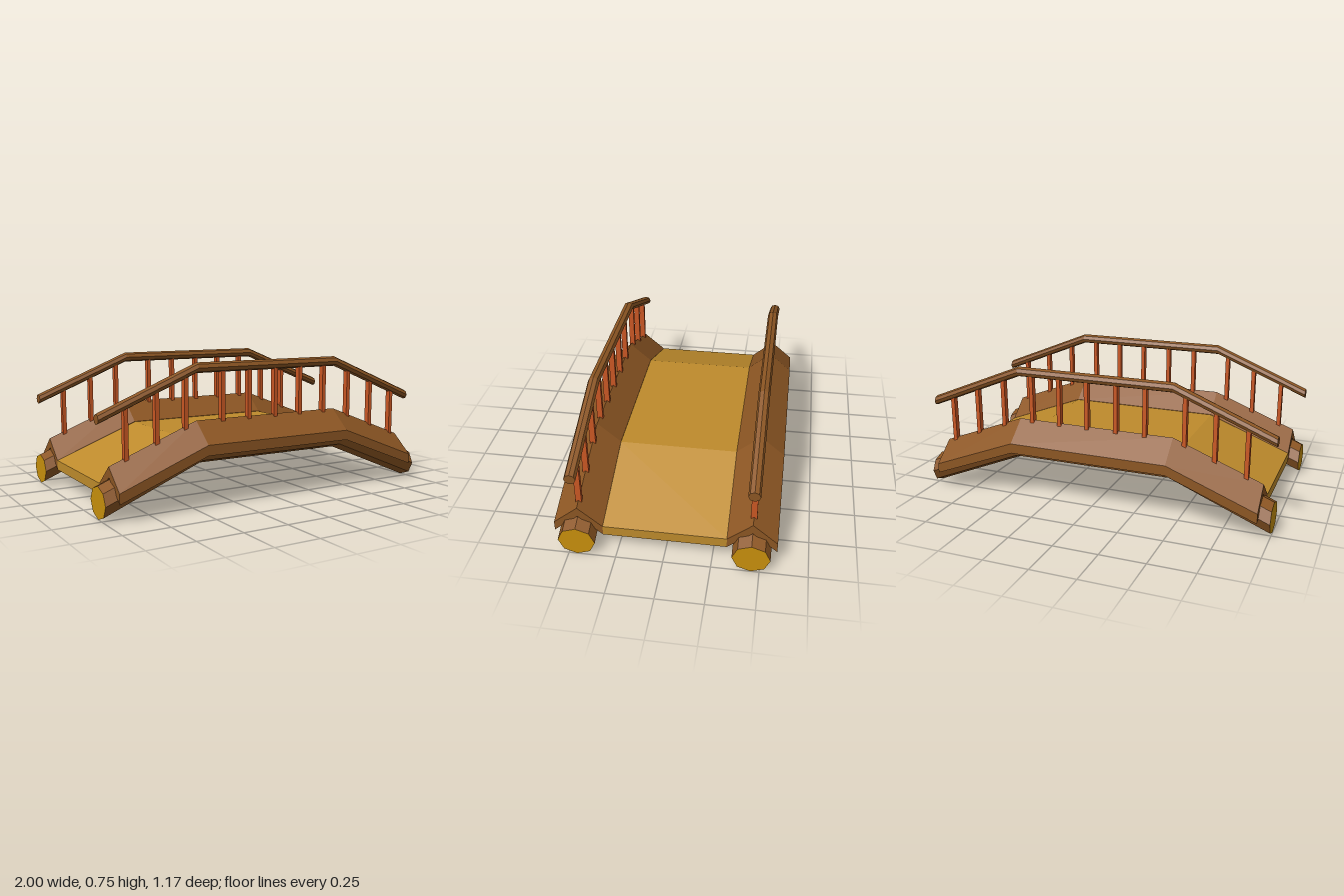
import * as THREE from 'three';

const mat = (name, color) => {
  const m = new THREE.MeshStandardMaterial({ color });
  m.name = name;
  return m;
};

// Height along an arch: flat in the middle, straight ramps down to both ends
const CREST = 0.45;
const archY = (x, endX, endY, topY) =>
  topY - (topY - endY) * Math.max(0, (Math.abs(x) - CREST) / (endX - CREST));

// Sweeps a [z, y] cross-section along the arch, keeping every section upright
function archSweep(section, endX, endY, topY) {
  const shape = new THREE.Shape(section.map(([z, y]) => new THREE.Vector2(-z, y)));
  const geo = new THREE.ExtrudeGeometry(shape, { depth: 3, steps: 3, bevelEnabled: false });
  const stations = [-endX, -CREST, CREST, endX];
  const p = geo.attributes.position;
  for (let i = 0; i < p.count; i++) {
    const x = stations[Math.round(p.getZ(i))];
    p.setXYZ(i, x, p.getY(i) + archY(x, endX, endY, topY), -p.getX(i));
  }
  geo.computeVertexNormals();
  return geo;
}

// Eight-sided section with a corner at the bottom
const octagon = (rz, ry) => Array.from({ length: 8 }, (_, i) => {
  const a = (i * Math.PI) / 4;
  return [Math.sin(a) * rz, -Math.cos(a) * ry];
});

export function createModel() {
  const group = new THREE.Group();
  group.name = 'footbridge';
  const wood = mat('brown wood', 0x8c5623);
  const plank = mat('golden deck', 0xbe8b2c);
  const cut = mat('cut log end', 0xc8900c);
  const post = mat('orange post', 0xcb5824);

  const add = (parent, name, geo, material) => {
    const mesh = new THREE.Mesh(geo, material);
    mesh.name = name;
    parent.add(mesh);
    return mesh;
  };

  // Walking surface
  add(group, 'deck', archSweep(
    [[-0.325, 0], [0.325, 0], [0.325, 0.055], [-0.325, 0.055]], 0.94, 0.1, 0.287), plank);

  const logGeo = archSweep(octagon(0.099, 0.085), 1, 0.09, 0.315);
  const kerbGeo = archSweep(
    [[-0.13, 0], [0, 0.11], [0.13, 0], [0.13, 0.055], [0, 0.165], [-0.13, 0.055]], 0.94, 0.1, 0.289);
  const railGeo = archSweep(octagon(0.031, 0.0275), 1, 0.503, 0.728);
  const postXs = [-0.85, -0.68, -0.515, -0.295, -0.13, 0.04, 0.205, 0.372, 0.55, 0.72, 0.885];

  for (const [label, side] of [['front', 1], ['back', -1]]) {
    const half = new THREE.Group();
    half.name = label + 'Side';
    half.position.z = 0.455 * side;
    group.add(half);

    // Log beam, with bare wood on the sawn ends
    add(half, 'logBeam', logGeo, [cut, wood]);
    // Roof-shaped kerb over the log
    add(half, 'kerb', kerbGeo, wood);
    add(half, 'handrail', railGeo, wood);

    // Posts from the kerb ridge up into the handrail
    for (const x of postXs) {
      const y0 = archY(x, 0.94, 0.265, 0.454) - 0.03;
      const y1 = archY(x, 1, 0.503, 0.728);
      add(half, 'post', new THREE.BoxGeometry(0.023, y1 - y0, 0.032), post)
        .position.set(x, (y0 + y1) / 2, 0);
    }
  }
  return group;
}
